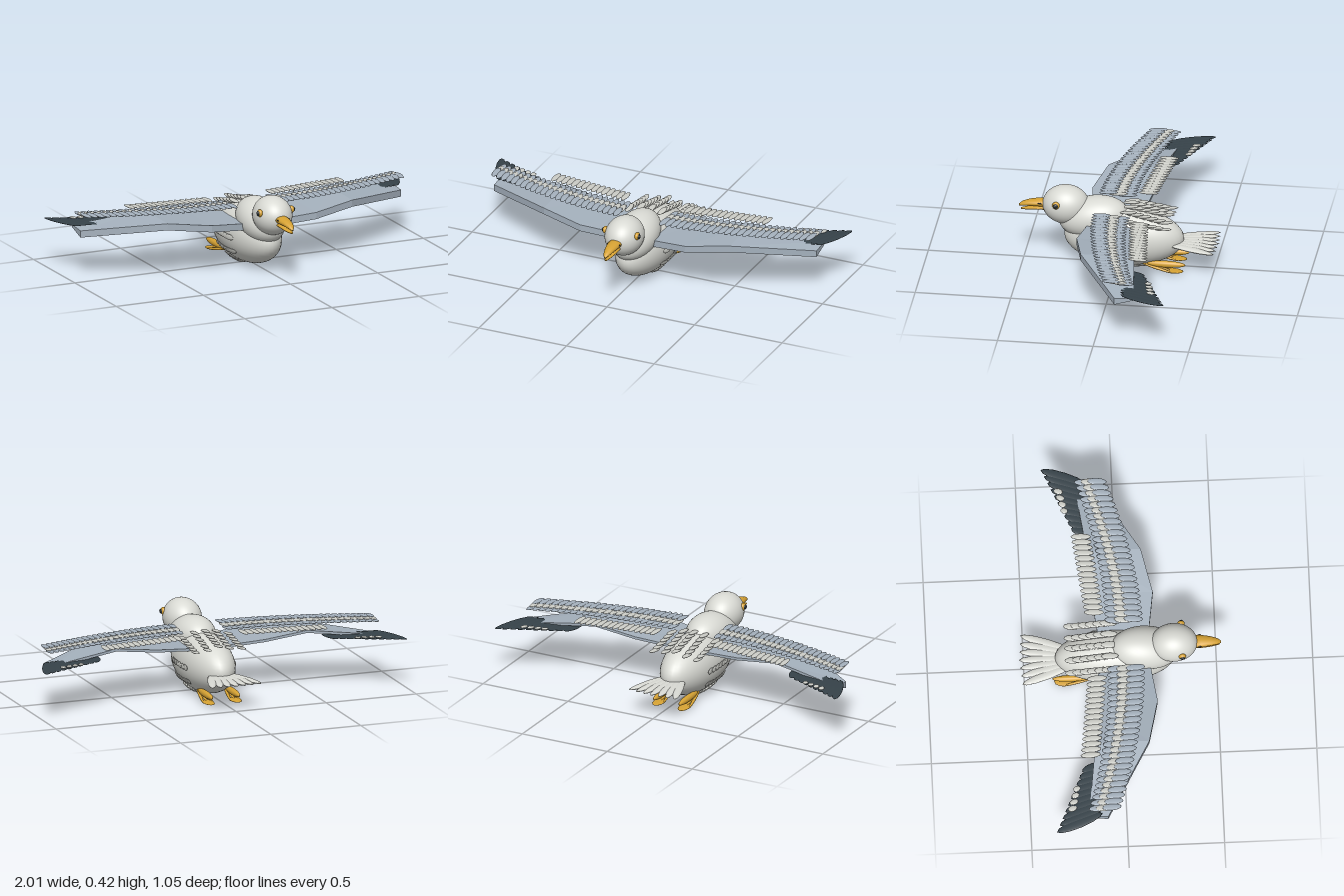
import * as THREE from 'three';

const mat = (name, color, side = THREE.FrontSide) => {
  const m = new THREE.MeshStandardMaterial({ color, side });
  m.name = name;
  return m;
};
const V = (x, y, z) => new THREE.Vector3(x, y, z);

export function createModel() {
  const white = mat('plumage white', 0xd9dad4);
  const pale = mat('feather pale grey', 0xcccdc7);
  const grey = mat('wing blue grey', 0xa5b1bd);
  const dark = mat('wingtip slate', 0x364249);
  const gold = mat('beak gold', 0xd6a233);
  const black = mat('eye black', 0x20282d);

  const bird = new THREE.Group();
  bird.name = 'bird';
  const group = (name) => {
    const g = new THREE.Group();
    g.name = name;
    bird.add(g);
    return g;
  };

  const ball = new THREE.SphereGeometry(1, 40, 28);
  const plume = new THREE.SphereGeometry(1, 12, 8);

  const ellipsoid = (name, material, pos, radii, parent = bird, tilt = 0) => {
    const m = new THREE.Mesh(ball, material);
    m.name = name;
    m.position.set(...pos);
    m.scale.set(...radii);
    m.rotation.x = tilt;
    parent.add(m);
    return m;
  };

  // Flat ellipsoid stretched between two points, lying across the given normal
  const feather = (parent, name, material, base, tip, width, thick, normal = V(0, 1, 0)) => {
    const m = new THREE.Mesh(plume, material);
    m.name = name;
    m.up.copy(normal);
    m.position.copy(base).add(tip).multiplyScalar(0.5);
    m.lookAt(tip);
    m.scale.set(width / 2, thick / 2, base.distanceTo(tip) / 2);
    parent.add(m);
  };

  // Skin over rings that run clockwise as seen from the far end
  const loft = (rings, flat) => {
    const n = rings[0].length;
    const index = [];
    for (let i = 0; i < rings.length - 1; i++)
      for (let j = 0; j < n; j++) {
        const a = i * n + j, b = i * n + ((j + 1) % n);
        index.push(a, a + n, b + n, a, b + n, b);
      }
    const last = (rings.length - 1) * n;
    for (let j = 1; j < n - 1; j++) {
      index.push(0, j, j + 1);
      index.push(last, last + j + 1, last + j);
    }
    let g = new THREE.BufferGeometry().setFromPoints(rings.flat());
    g.setIndex(index);
    if (flat) g = g.toNonIndexed();
    g.computeVertexNormals();
    return g;
  };

  // Body, shoulders and head
  ellipsoid('body', white, [0, 0.16, -0.025], [0.135, 0.155, 0.313]);
  ellipsoid('shoulders', white, [0, 0.262, 0.135], [0.114, 0.108, 0.183], bird, 0.2);
  ellipsoid('head', white, [0, 0.322, 0.28], [0.1, 0.103, 0.122]);

  // Beak halves: z, centre y, half width, half height
  const beakHalf = (name, rows) => {
    const rings = rows.map(([z, y, rx, ry]) => Array.from({ length: 16 }, (_, j) => {
      const a = -j / 16 * Math.PI * 2;
      return V(rx * Math.cos(a), y + ry * Math.sin(a), z);
    }));
    const m = new THREE.Mesh(loft(rings), gold);
    m.name = name;
    bird.add(m);
  };
  beakHalf('upperBeak', [[0.37, 0.324, 0.036, 0.022], [0.42, 0.324, 0.034, 0.02],
    [0.47, 0.32, 0.026, 0.016], [0.505, 0.312, 0.017, 0.012], [0.525, 0.302, 0.006, 0.006]]);
  beakHalf('lowerBeak', [[0.37, 0.3, 0.03, 0.013], [0.42, 0.296, 0.028, 0.011],
    [0.47, 0.288, 0.02, 0.008], [0.515, 0.282, 0.008, 0.004]]);

  // Tail fan
  const tail = group('tail');
  for (let i = -3; i <= 3; i++)
    feather(tail, 'tailFeather', white, V(i * 0.012, 0.145, -0.24),
      V(i * 0.045, 0.145, -0.525 + Math.abs(i) * 0.004), 0.05, 0.022);

  // Rows of feathers along the lower body and flanks
  const flanks = group('bodyFeathers');
  for (const deg of [0, -30, -60, -120, -150, -180]) {
    const a = deg * Math.PI / 180;
    const n = V(Math.cos(a), Math.sin(a), 0);
    const at = (z, lift) => {
      const k = Math.sqrt(1 - ((z + 0.025) / 0.313) ** 2);
      return V(n.x * (0.135 * k + lift), 0.16 + n.y * (0.155 * k + lift), z);
    };
    for (let i = 0; i < 6; i++) {
      const z = 0.08 - i * 0.033;
      feather(flanks, 'bodyFeather', pale, at(z, 0.002), at(z - 0.062, 0.011), 0.032, 0.009, n);
    }
  }

  // Back feathers in five lengthwise rows
  const back = group('backFeathers');
  for (const [x, y0, y1] of [[0, 0.325, 0.29], [0.06, 0.32, 0.275], [-0.06, 0.32, 0.275],
    [0.125, 0.3, 0.268], [-0.125, 0.3, 0.268]])
    for (let i = 0; i < 6; i++) {
      const y = y0 + (y1 - y0) * i / 5, z = -0.01 - i * 0.038;
      feather(back, 'backFeather', pale, V(x, y, z), V(x * 1.04, y + 0.006, z - 0.09), 0.036, 0.01);
    }

  for (const s of [1, -1]) {
    const side = s > 0 ? 'left' : 'right';

    // Eye and nostril
    const face = group(side + 'Face');
    ellipsoid('eyeRing', gold, [s * 0.09, 0.352, 0.32], [0.014, 0.02, 0.02], face);
    ellipsoid('eye', black, [s * 0.097, 0.352, 0.321], [0.012, 0.014, 0.014], face);
    ellipsoid('eyeGlint', white, [s * 0.107, 0.357, 0.326], [0.003, 0.003, 0.003], face);
    ellipsoid('nostril', black, [s * 0.033, 0.329, 0.413], [0.003, 0.004, 0.01], face);

    // Wing blade: x, leading z, trailing z, leading top y, trailing top y
    const wing = group(side + 'Wing');
    const rows = [[0.07, 0.15, -0.11, 0.252, 0.255], [0.3, 0.183, -0.14, 0.275, 0.275],
      [0.53, 0.13, -0.15, 0.3, 0.305], [0.92, -0.1, -0.2, 0.25, 0.258]];
    const rings = rows.map(([x, zl, zt, yl, yt]) => [V(s * x, yl - 0.036, zl), V(s * x, yl, zl),
      V(s * x, yt, zt), V(s * x, yt - 0.014, zt)]);
    if (s < 0) rings.reverse();
    const blade = new THREE.Mesh(loft(rings, true), grey);
    blade.name = 'wingBlade';
    wing.add(blade);

    // Three overlapping rows of coverts
    for (let row = 0; row < 3; row++)
      for (let i = 0; i < 25; i++) {
        const t = i / 24, x = 0.13 + 0.765 * t;
        const z = 0.125 - 0.155 * t ** 1.7 - row * 0.05 * (1 - 0.3 * t);
        const y = 0.338 - row * 0.005;
        feather(wing, 'covert', row === 1 ? pale : grey, V(s * x, y - 0.004, z),
          V(s * (x + 0.008), y, z - 0.1), 0.037, 0.009);
      }

    // Secondaries along the trailing edge
    for (let i = 0; i < 15; i++) {
      const x = 0.18 + 0.42 * i / 14, z = -0.075 - 0.05 * i / 14;
      feather(wing, 'secondary', pale, V(s * x, 0.325, z), V(s * (x + 0.005), 0.322, z - 0.105), 0.034, 0.009);
    }

    // Dark primaries fanned out at the tip
    for (let i = 0; i < 10; i++) {
      const t = i / 9;
      feather(wing, 'primary', dark, V(s * (0.635 + 0.27 * t), 0.266, -0.1 - 0.03 * t),
        V(s * (0.67 + 0.33 * t), 0.264, -0.225 - 0.145 * t), 0.055, 0.009);
    }
    for (let i = 0; i < 4; i++)
      feather(wing, 'wingtipSpot', pale, V(s * (0.76 + 0.036 * i), 0.271, -0.24 - 0.007 * i),
        V(s * (0.775 + 0.036 * i), 0.271, -0.275 - 0.01 * i), 0.03, 0.008);

    // Leg tucked back with a webbed foot
    const leg = group(side + 'Leg');
    ellipsoid('shank', gold, [s * 0.075, 0.046, -0.255], [0.017, 0.018, 0.1], leg);
    for (const k of [-1, 0, 1])
      feather(leg, 'toe', gold, V(s * 0.075, 0.042, -0.13),
        V(s * 0.075 + k * 0.028, 0.008, -0.3), 0.016, 0.014);
    feather(leg, 'web', gold, V(s * 0.075, 0.014, -0.24), V(s * 0.075, 0.008, -0.345), 0.062, 0.009);
  }

  return bird;
}
